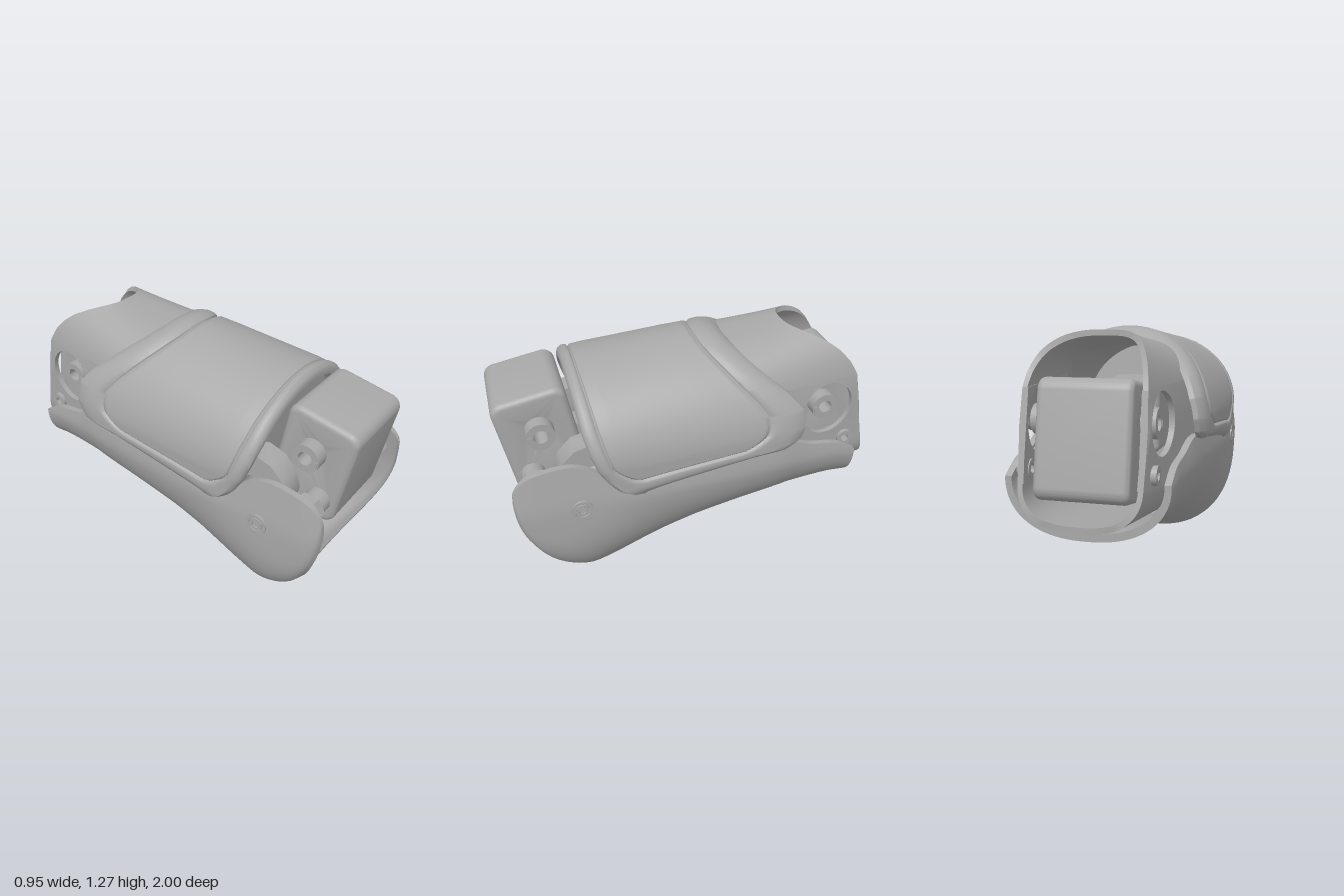
import * as THREE from 'three';
import { toCreasedNormals } from 'three/addons/utils/BufferGeometryUtils.js';
import { RoundedBoxGeometry } from 'three/addons/geometries/RoundedBoxGeometry.js';

const grey = new THREE.MeshStandardMaterial({ color: 0xa8a8a8, side: THREE.DoubleSide });
grey.name = 'grey plastic';

const lerp = THREE.MathUtils.lerp;
const steps = (a, b, n) => Array.from({ length: n + 1 }, (_, i) => lerp(a, b, i / n));

// Piecewise linear lookup in [[x, y], ...]
function lookup(table, x) {
  if (x <= table[0][0]) return table[0][1];
  for (let i = 1; i < table.length; i++) {
    const [x0, y0] = table[i - 1], [x1, y1] = table[i];
    if (x <= x1) return lerp(y0, y1, (x - x0) / (x1 - x0));
  }
  return table[table.length - 1][1];
}

// Width factor of a rounded arch at height fraction f
const round = (f, n) => Math.pow(Math.max(0, 1 - Math.pow(THREE.MathUtils.clamp(f, 0, 1), n)), 1 / n);

function add(parent, name, geometry, x = 0, y = 0, z = 0) {
  const mesh = new THREE.Mesh(geometry, grey);
  mesh.name = name;
  mesh.position.set(x, y, z);
  parent.add(mesh);
  return mesh;
}

// Thick curved shell: fn(s, v, t) gives the point at inset t
function shell(sList, vList, fn, thick) {
  const n = vList.length, pos = [], idx = [];
  for (const s of sList) {
    for (let j = 0; j < n; j++) pos.push(...fn(s, vList[j], 0));
    for (let j = n - 1; j >= 0; j--) pos.push(...fn(s, vList[j], thick));
  }
  const quad = (a, b, c, d) => idx.push(a, b, c, a, c, d);
  const m = 2 * n, last = (sList.length - 1) * m;
  for (let i = 0; i < sList.length - 1; i++)
    for (let j = 0; j < m; j++) {
      const k = (j + 1) % m;
      quad(i * m + j, i * m + k, (i + 1) * m + k, (i + 1) * m + j);
    }
  for (let j = 0; j < n - 1; j++) {
    const o = j, o1 = j + 1, q = m - 1 - j, q1 = m - 2 - j;
    quad(q, q1, o1, o);
    quad(last + o, last + o1, last + q1, last + q);
  }
  const g = new THREE.BufferGeometry();
  g.setAttribute('position', new THREE.Float32BufferAttribute(pos, 3));
  g.setIndex(idx);
  return toCreasedNormals(g, 0.6);
}

// Hollow round along x
function bush(outer, inner, length, sides = 24) {
  const h = length / 2;
  const pts = [[inner, -h], [outer, -h], [outer, h], [inner, h], [inner, -h]];
  const g = new THREE.LatheGeometry(pts.map(p => new THREE.Vector2(...p)), sides);
  return toCreasedNormals(g.rotateZ(-Math.PI / 2), 0.6);
}

// Lower trough: a bottom line and a top line joined by U sections
function lowerShell() {
  const bottom = [[.78, .13, .40], [.70, .055, .43], [.62, .012, .44], [.54, 0, .445], [.40, .045, .447],
    [.25, .1, .447], [.1, .147, .447], [-.1, .2, .445], [-.3, .248, .44], [-.5, .285, .43],
    [-.65, .307, .41], [-.78, .322, .4], [-.88, .33, .39]];
  const top = [[.965, .66], [.955, .735], [.90, .795], [.80, .825], [.66, .83], [.55, .78], [.45, .70],
    [.25, .66], [-.1, .72], [-.45, .75], [-.6, .70], [-.76, .67], [-.87, .61]];
  const bc = new THREE.CatmullRomCurve3(bottom.map(p => new THREE.Vector3(...p)));
  const tc = new THREE.CatmullRomCurve3(top.map(p => new THREE.Vector3(p[0], p[1], 0)));
  return shell(steps(0, 1, 48), steps(-1, 1, 48), (s, v, t) => {
    const b = bc.getPoint(s), e = tc.getPoint(s);
    const inset = t * lerp(.3, 1, Math.min(1, s * 6));
    const yb = Math.max(0, b.y) + inset * 1.2, h = e.y - yb;
    const y = yb + h * (1 - Math.cos(v * Math.PI / 2));
    const z = b.x + (e.x - b.x) * Math.sin((y - yb) / h * Math.PI / 2);
    const x = (b.z - inset) * round(1 - (y - yb) / Math.min(.45, h), 2.3) - .15 * Math.max(0, y - .6);
    return [-Math.sign(v) * Math.max(0, x), y, z];
  }, .032);
}

// Upper guard with a rolled border and a round-cornered groove around the centre field
function upperGuard() {
  const front = [[.62, .32], [.63, .37], [.65, .42], [.68, .465], [.72, .5], [.8, .547], [.9, .582], [1, .605], [1.2, .625]];
  const back = [[.735, -.38], [.745, -.43], [.76, -.47], [.785, -.505], [.85, -.53], [.95, -.52], [1.03, -.45], [1.15, -.31], [1.24, -.2], [1.28, -.17]];
  const relief = [[0, .03], [.15, .012], [.45, 0], [.8, .001], [.9, .005], [1, .016], [1.12, .004], [2, .001]];
  const s = [0, .01, .03, .05, ...steps(.06, .22, 26), ...steps(.26, .64, 8), ...steps(.68, .84, 26), .87, .92, .97, 1];
  const half = [...steps(.06, .66, 10), ...steps(.7, .94, 40), .96, .985, 1];
  const v = [...half.map(a => -a).reverse(), 0, ...half];
  const R = .14;
  // Distance from the rim, 1 on the groove line
  const border = (s, v) => {
    const fromFront = s < .5, w = fromFront ? .066 : .165;
    const a = (fromFront ? s : 1 - s) * .95, b = (1 - Math.abs(v)) * .9;
    const p = R - (a - w), q = R - (b - .08);
    const plain = Math.min(a / w, b / .08);
    if (p <= 0 || q <= 0) return plain;
    const blend = (w * p * p + .08 * q * q) / (p * p + q * q);
    return Math.min(plain, Math.max(.5, 1 + (R - Math.hypot(p, q)) / blend));
  };
  return shell(s, v, (s, v, t) => {
    const inset = t || lookup(relief, border(s, v));
    const T = 1.205 + .075 * s - inset, B = .62 + .12 * s;
    const y = B + (T - B) * Math.cos(v * Math.PI / 2);
    const x = (.475 - inset) * round((y - .8) / (T - .8), 2);
    return [Math.sign(v) * x, y, lerp(lookup(front, y), lookup(back, y), s)];
  }, .055);
}

// Rear housing: one width rule shared by roof, floor and the pierced side walls
const rearRim = [[.40, -.985], [.43, -1], [.7, -.94], [1.02, -.88], [1.04, -.87], [1.1, -.835], [1.16, -.78],
  [1.2, -.725], [1.235, -.65], [1.25, -.605], [1.26, -.565], [1.265, -.54]];
const rearWidth = z => .36 + .13 * (z + .4);
const rearX = (y, z, top) => rearWidth(z) * round((y - .8) / (top - .8), 3);
function rearRoof() {
  return shell(steps(0, 1, 16), steps(-1, 1, 48), (s, v, t) => {
    const T = 1.19 + .075 * s, c = Math.cos(v * Math.PI / 2);
    const y = 1.02 + (T - 1.02) * c;
    const z = lerp(0, lookup(rearRim, y), s);
    return [Math.sign(v) * rearX(y, z, T) * (1 - t / .34), y - t * c, z];
  }, .028);
}
function rearFloor() {
  return shell(steps(0, 1, 12), steps(-1, 1, 32), (s, v, t) => {
    const c = Math.cos(v * Math.PI / 2), y = .6 - lerp(.3, .2, s) * c;
    const z = lerp(-.15, lookup(rearRim, y), s);
    return [-Math.sign(v) * rearWidth(z) * round(c, 2.4) * (1 - t / .34), y + t * c, z];
  }, .028);
}
function rearWall(side) {
  const outline = [[-.15, 1.02], [-.4, 1.02], [-.65, 1.02], [-.88, 1.02], [-.91, .86], [-.94, .7], [-.962, .6], [-.5, .6], [-.15, .6], [-.15, .85]];
  const shape = new THREE.Shape(outline.map(([z, y]) => new THREE.Vector2(-z, y)));
  for (const [a, y, r] of [[.715, .855, .148], [.84, .645, .035]])
    shape.holes.push(new THREE.Path().absarc(a, y, r, 0, Math.PI * 2, true));
  const g = new THREE.ExtrudeGeometry(shape, { depth: 1, bevelEnabled: false, curveSegments: 32 }).rotateY(Math.PI / 2);
  const p = g.attributes.position;
  for (let i = 0; i < p.count; i++) {
    const x = rearX(p.getY(i), p.getZ(i), 1.19 - .075 * p.getZ(i) / .88);
    p.setX(i, (side > 0 ? x - .028 : -x) + .028 * p.getX(i));
  }
  return toCreasedNormals(g, 0.4);
}

// Arched wall closing the front of the guard
function bulkhead() {
  const shape = new THREE.Shape();
  shape.moveTo(-.4, .02);
  shape.lineTo(.4, .02);
  shape.lineTo(.43, .18);
  shape.absellipse(0, .18, .43, .375, 0, Math.PI);
  return new THREE.ExtrudeGeometry(shape, { depth: .03, bevelEnabled: false, curveSegments: 24 });
}

// Joint block with a bored pivot pin, placed by its pivot
function jointBlock(name, y, z, shift) {
  const group = new THREE.Group();
  group.name = name;
  const a = .155, b = .245, r = .03, shape = new THREE.Shape();
  shape.absarc(a - r, b - r, r, 0, Math.PI / 2);
  shape.absarc(r - a, b - r, r, Math.PI / 2, Math.PI);
  shape.absarc(r - a, r - b, r, Math.PI, Math.PI * 1.5);
  shape.absarc(a - r, r - b, r, Math.PI * 1.5, Math.PI * 2);
  shape.holes.push(new THREE.Path().absarc(shift, .09, .07, 0, Math.PI * 2, true));
  const g = new THREE.ExtrudeGeometry(shape, { depth: .385, bevelThickness: .03, bevelSize: .03, bevelSegments: 5, curveSegments: 12 });
  g.translate(0, 0, -.1925).rotateY(Math.PI / 2);
  add(group, 'block', toCreasedNormals(g, 0.6), 0, -.09, shift);
  add(group, 'pivotPin', bush(.055, .036, .56));
  for (const s of [-1, 1]) {
    add(group, 'pinHead', bush(.072, .036, .07), s * .262, 0, 0);
    add(group, 'pinSlot', new THREE.BoxGeometry(.012, .03, .02), s * .295, 0, .055);
  }
  group.position.set(0, y, z);
  group.rotation.x = .18;
  return group;
}

export function createModel() {
  const model = new THREE.Group();
  model.name = 'armSegment';

  add(model, 'lowerShell', lowerShell());
  add(model, 'upperGuard', upperGuard());
  add(model, 'rearRoof', rearRoof());
  add(model, 'rearFloor', rearFloor());
  add(model, 'bulkhead', bulkhead(), 0, .62, .44).rotation.x = .1;
  model.add(jointBlock('frontJoint', .955, .785, .01), jointBlock('rearJoint', .855, -.71, -.018));

  // Inner drive and its end disc with a row of pins
  add(model, 'driveBody', new RoundedBoxGeometry(.38, .36, .6, 3, .04), 0, .8, .02);
  const disc = new THREE.CylinderGeometry(.185, .185, .3, 40).rotateX(Math.PI / 2);
  add(model, 'driveDisc', disc, 0, .475, .15);
  add(model, 'innerRing', new THREE.TorusGeometry(.27, .022, 10, 48), 0, .6, .15);
  for (let i = 0; i < 5; i++)
    add(model, 'discPin', new THREE.CylinderGeometry(.02, .02, .03, 12).rotateX(Math.PI / 2), .103, .38 + i * .037, .31);

  for (const s of [-1, 1]) {
    add(model, 'rearWall', rearWall(s));
    // Front hinge: hub, spindle and hexagonal nut
    add(model, 'hingeHub', bush(.185, .06, .13, 12), s * .285, .715, .55);
    add(model, 'hingeSpindle', bush(.062, .02, .13, 16), s * .285, .70, .84);
    add(model, 'hingeNut', bush(.08, .03, .05, 6), s * .325, .70, .84);
    // Fasteners through the shell sides
    add(model, 'shellBush', bush(.055, .04, .07), s * .419, .59, .64);
    add(model, 'shellBushCore', bush(.034, .02, .07), s * .419, .59, .64);
    add(model, 'rearScrew', bush(.045, .022, .06), s * .295, .645, -.84);
  }
  return model;
}
